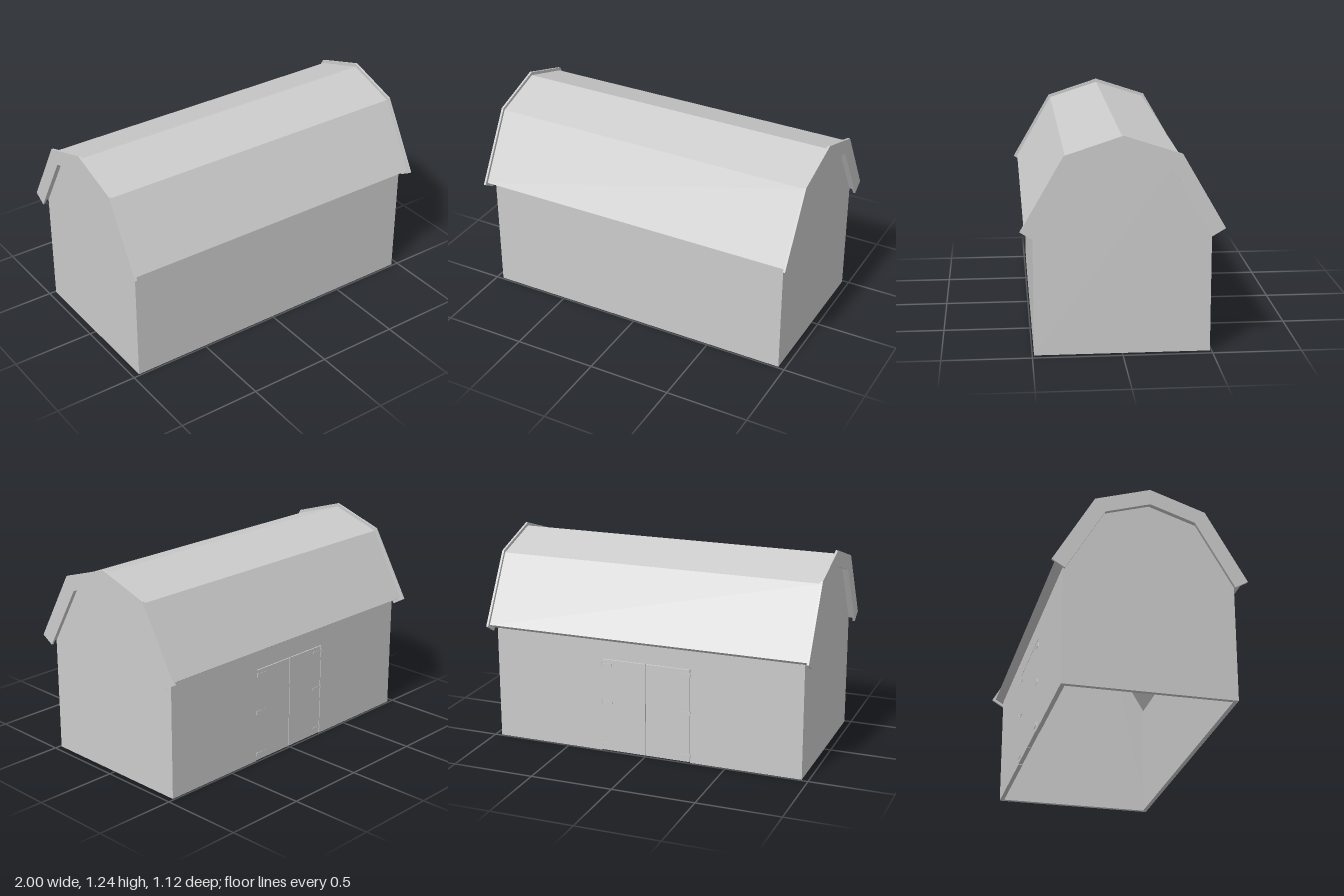
import * as THREE from 'three';

const material = new THREE.MeshStandardMaterial({ color: 0xcccccc, flatShading: true });

// Half sections as [z, y], from ridge to eave
const ROOF_OUTER = [[0, 1.215], [0.31, 1.115], [0.537, 0.72]];
const ROOF_INNER = [[0, 1.148], [0.272, 1.06], [0.488, 0.691]];
const TRIM_OUTER = [[0, 1.235], [0.32, 1.13], [0.56, 0.715]];
const TRIM_INNER = [[0, 1.14], [0.26, 1.055], [0.485, 0.67]];

const HALF_X = 0.96, HALF_Z = 0.49, WALL = 0.025, WALL_TOP = 0.7;
const DOOR_HALF = 0.28, DOOR_TOP = 0.58, GAP = 0.004;

const mirrored = (half) => [...half.slice(1).reverse().map(([z, y]) => [-z, y]), ...half];
const toShape = (points) => new THREE.Shape(points.map(([a, b]) => new THREE.Vector2(a, b)));

function addMesh(parent, name, geometry) {
  const mesh = new THREE.Mesh(geometry, material);
  mesh.name = name;
  parent.add(mesh);
  return mesh;
}

// Extrude a z-y section along x between x0 and x1
function alongX(points, x0, x1) {
  const geometry = new THREE.ExtrudeGeometry(toShape(points), { depth: x1 - x0, bevelEnabled: false });
  return geometry.rotateY(-Math.PI / 2).translate(x1, 0, 0);
}

function box(x0, x1, y0, y1, z0, z1) {
  return new THREE.BoxGeometry(x1 - x0, y1 - y0, z1 - z0)
    .translate((x0 + x1) / 2, (y0 + y1) / 2, (z0 + z1) / 2);
}

// Closed band between an outer and an inner half section
const band = (outer, inner) => [...mirrored(outer), ...mirrored(inner).reverse()];

export function createModel() {
  const barn = new THREE.Group();
  barn.name = 'barn';

  // Gable walls reach up to the underside of the roof
  const gable = [[-HALF_Z, 0], ...mirrored([...ROOF_INNER.slice(0, 2), [HALF_Z, 0.69]]), [HALF_Z, 0]];
  addMesh(barn, 'leftGableWall', alongX(gable, HALF_X - WALL, HALF_X));
  addMesh(barn, 'rightGableWall', alongX(gable, -HALF_X, -HALF_X + WALL));

  // Long walls; the back one has a doorway open to the ground
  const inX = HALF_X - WALL;
  addMesh(barn, 'frontWall', box(-inX, inX, 0, WALL_TOP, HALF_Z - WALL, HALF_Z));
  const backWall = toShape([
    [-inX, 0], [-DOOR_HALF, 0], [-DOOR_HALF, DOOR_TOP], [DOOR_HALF, DOOR_TOP],
    [DOOR_HALF, 0], [inX, 0], [inX, WALL_TOP], [-inX, WALL_TOP],
  ]);
  addMesh(barn, 'backWall', new THREE.ExtrudeGeometry(backWall, { depth: WALL, bevelEnabled: false })
    .translate(0, 0, -HALF_Z));

  // Gambrel roof and the trim boards on its ends
  addMesh(barn, 'roof', alongX(band(ROOF_OUTER, ROOF_INNER), -0.987, 0.987));
  const trim = band(TRIM_OUTER, TRIM_INNER);
  addMesh(barn, 'leftRoofTrim', alongX(trim, 0.987, 1));
  addMesh(barn, 'rightRoofTrim', alongX(trim, -1, -0.987));

  // Double doors with three strap hinges each
  for (const [side, s] of [['left', 1], ['right', -1]]) {
    const door = new THREE.Group();
    door.name = `${side}Door`;
    const outer = s > 0 ? DOOR_HALF : -DOOR_HALF + GAP;
    const inner = s > 0 ? GAP / 2 : -GAP / 2;
    addMesh(door, 'doorPanel', box(Math.min(outer, inner), Math.max(outer, inner),
      GAP, DOOR_TOP - GAP, -HALF_Z, -HALF_Z + WALL));
    for (const y of [0.043, 0.31, 0.545]) {
      const hinge = new THREE.Group();
      hinge.name = 'hinge';
      addMesh(hinge, 'hingeStrap', new THREE.BoxGeometry(0.066, 0.014, 0.003)
        .translate(s * (DOOR_HALF - 0.035), y, -HALF_Z - 0.0005));
      addMesh(hinge, 'hingePin', new THREE.CylinderGeometry(0.004, 0.004, 0.025, 8)
        .translate(s * DOOR_HALF, y, -HALF_Z));
      door.add(hinge);
    }
    barn.add(door);
  }

  return barn;
}
